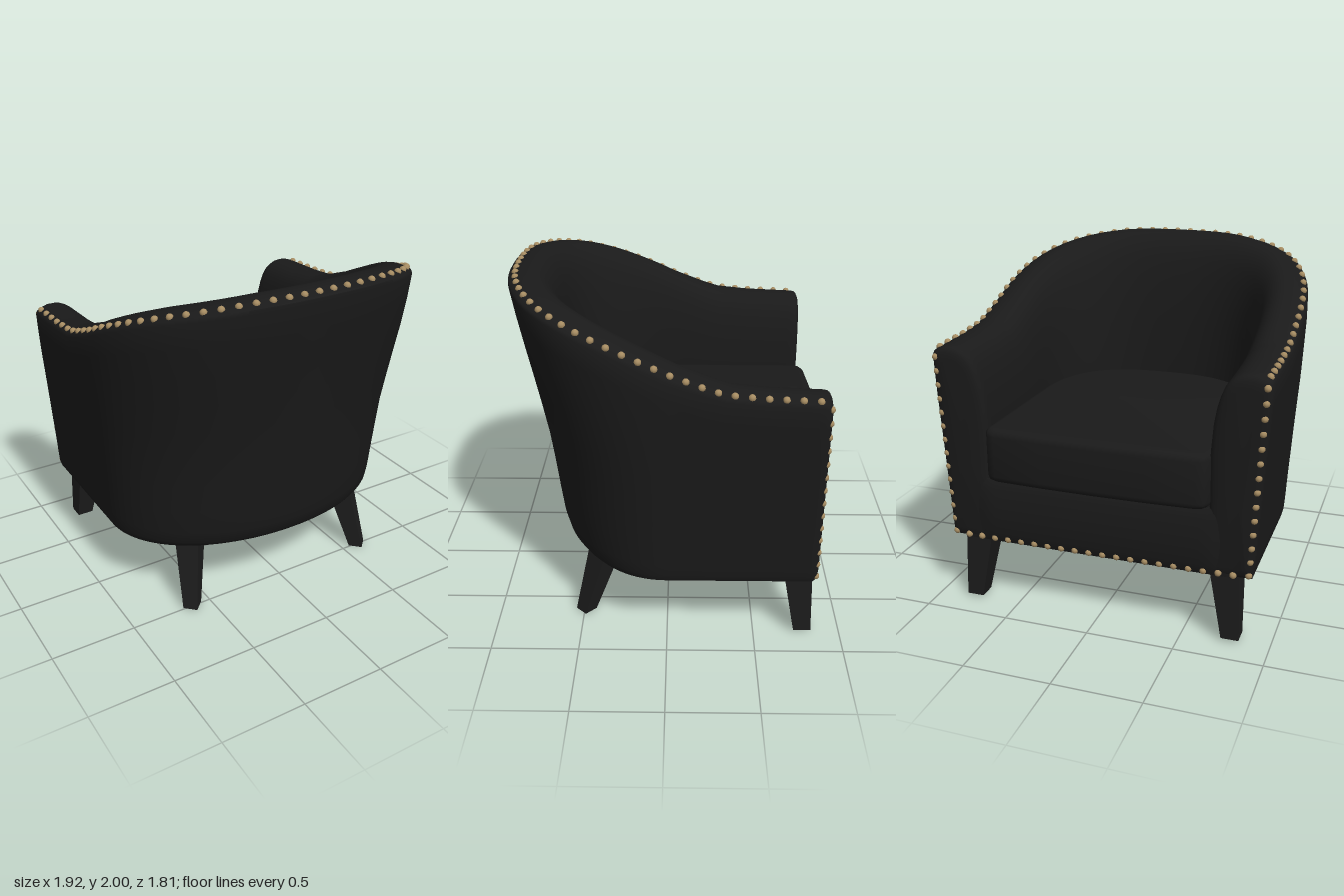
import * as THREE from 'three';
import { mergeGeometries, toCreasedNormals } from 'three/addons/utils/BufferGeometryUtils.js';

const { lerp, smoothstep } = THREE.MathUtils;

// Linear lookup in rows of [key, value, value...]
function lookup(rows, key, col) {
  let i = 1;
  while (i < rows.length - 1 && rows[i][0] < key) i++;
  const [a, b] = [rows[i - 1], rows[i]];
  const t = THREE.MathUtils.clamp((key - a[0]) / (b[0] - a[0]), 0, 1);
  return lerp(a[col], b[col], t);
}

// Height of the rim by depth
const RIM = [[-0.85, 1.54], [-0.5, 1.555], [-0.3, 1.575], [-0.2, 1.605], [0, 1.68], [0.2, 1.76],
  [0.4, 1.84], [0.6, 1.912], [0.75, 1.957], [0.82, 1.978], [0.87, 1.994], [0.9, 2]];
// Outer wall by height: half width, depth of the back, squareness of the plan
const WALL = [[0.4, 0.885, 0.59, 2.1], [0.43, 0.895, 0.635, 2.1], [0.5, 0.9, 0.66, 2.1],
  [0.6, 0.905, 0.675, 2.1], [1.0, 0.93, 0.722, 2.15], [1.3, 0.95, 0.775, 2.27],
  [1.6, 0.96, 0.833, 2.45], [1.8, 0.955, 0.872, 2.55], [2.0, 0.945, 0.91, 2.58]];
// Roll from the rim to the seat: fraction inward, fraction of the drop
const ROLL = [[0.25, 0], [0.4, 0], [0.5, 0.012], [0.6, 0.045], [0.7, 0.1], [0.78, 0.18],
  [0.85, 0.3], [0.91, 0.45], [0.96, 0.65], [1, 1]];

// U-shaped plan: s = -1 right front, 0 middle of the back, 1 left front
function plan(s, a, b, z0, front, n = 2.6) {
  const m = Math.abs(s), sign = Math.sign(s);
  if (m > 0.5) return [sign * a, lerp(z0, front, (m - 0.5) * 2)];
  const ang = m * Math.PI, p = 2 / n;
  return [sign * a * Math.sin(ang) ** p, z0 + b * Math.max(0, Math.cos(ang)) ** p];
}

const FRONT = -0.808;
const outer = (s, y) => plan(s, lookup(WALL, y, 1), lookup(WALL, y, 2), 0, FRONT, lookup(WALL, y, 3));
const inner = (s) => plan(s, 0.64, 0.65, -0.1, FRONT);
const rimHeight = (s) => lookup(RIM, plan(s, 0.95, 0.9, 0, FRONT)[1], 1);

// Closed cross-section of the shell at s
function section(s) {
  const H = rimHeight(s), o = outer(s, H), n = inner(s), pts = [];
  const across = (f, y, from = o) => pts.push([lerp(from[0], n[0], f), y, lerp(from[1], n[1], f)]);
  for (const t of [0, 0.012, 0.03, 0.08, 0.18, 0.3, 0.42, 0.54, 0.66, 0.78, 0.9, 1]) {
    const y = lerp(0.4, H - 0.05, t), p = outer(s, y);
    pts.push([p[0], y, p[1]]);
  }
  across(0.03, H - 0.03);
  across(0.1, H - 0.016);
  for (const [f, g] of ROLL) across(f, H - g * (H - 1.1));
  across(1, 0.8);
  across(1, 0.4);
  across(0.15, 0.4, outer(s, 0.4));
  return pts;
}

// Arm front: the end section shrunk toward its middle as it moves forward
function armEnd(sign) {
  const base = section(sign), cx = sign * 0.8;
  return [[0.004, -0.824], [0.013, -0.837], [0.03, -0.846], [0.065, -0.852], [0.16, -0.853]].map(([e, z]) => {
    const kx = 1 - e / 0.16, ky = e === 0.16 ? 0 : 1 - e / 0.57;
    return base.map(([x, y]) => [cx + (x - cx) * kx, 0.95 + (y - 0.95) * ky, z + (0.95 - y) * 0.008 * kx]);
  });
}

function shellGeometry() {
  const rings = [...armEnd(-1).reverse()];
  for (let i = 0; i <= 96; i++) rings.push(section(i / 48 - 1));
  rings.push(...armEnd(1));
  const m = rings[0].length, index = [];
  for (let i = 0; i < rings.length - 1; i++) {
    for (let j = 0; j < m; j++) {
      const k = (j + 1) % m, a = i * m, b = a + m;
      index.push(a + j, b + j, a + k, b + j, b + k, a + k);
    }
  }
  const g = new THREE.BufferGeometry();
  g.setAttribute('position', new THREE.Float32BufferAttribute(rings.flat(2), 3));
  g.setIndex(index);
  return toCreasedNormals(g, 0.95);
}

// Slab with the U plan of the seat
function seatSlab(halfWidth, back, nose, top, bottom, bevel) {
  const pts = [];
  for (let i = 0; i <= 64; i++) pts.push(new THREE.Vector2(...plan(i / 32 - 1, halfWidth, back, -0.1, -0.83)));
  for (const [x, z] of nose) pts.push(new THREE.Vector2(x, z));
  const g = new THREE.ExtrudeGeometry(new THREE.Shape(pts), {
    depth: top - bottom - 2 * bevel, bevelEnabled: bevel > 0, bevelSize: bevel,
    bevelThickness: bevel, bevelOffset: -bevel, bevelSegments: 4,
  });
  g.rotateX(Math.PI / 2).translate(0, top - bevel, 0);
  return toCreasedNormals(g, 0.7);
}

// Padded panel below the cushion, fading into the arm fronts
function panelGeometry() {
  const g = new THREE.BoxGeometry(1.6, 0.385, 0.1, 40, 14, 1).translate(0, 0.5945, -0.788);
  const p = g.attributes.position;
  for (let i = 0; i < p.count; i++) {
    if (p.getZ(i) > -0.8) continue;
    const t = THREE.MathUtils.clamp((p.getY(i) - 0.402) / 0.385, 0, 1);
    const swell = Math.max(0, Math.sin(Math.PI * t)) ** 0.6 * (1 - smoothstep(Math.abs(p.getX(i)), 0.62, 0.79));
    p.setZ(i, -0.838 - 0.028 * swell);
  }
  g.computeVertexNormals();
  return g;
}

// Tapered, splayed leg: [x, z, width] at top and foot, turned about its own axis
function legGeometry(top, foot, footY, turn) {
  const g = new THREE.BoxGeometry(1, 1, 1).rotateY(turn), p = g.attributes.position;
  for (let i = 0; i < p.count; i++) {
    const up = p.getY(i) > 0, e = up ? top : foot;
    p.setXYZ(i, e[0] + p.getX(i) * e[2], up ? 0.408 : footY, e[1] + p.getZ(i) * e[2]);
  }
  g.computeVertexNormals();
  return g;
}

// Evenly spaced studs around the rim, down the arm fronts and along the bottom
function studGeometry() {
  const rim = [];
  for (let i = 0; i <= 96; i++) {
    const s = (i / 48 - 1) * 0.985, H = rimHeight(s), o = outer(s, H), n = inner(s);
    const back = 1 - smoothstep(Math.abs(s), 0.1, 0.4), f = lerp(0.085, 0.135, back);
    rim.push(new THREE.Vector3(lerp(o[0], n[0], f), H - lerp(0.019, 0.014, back), lerp(o[1], n[1], f)));
  }
  const spots = new THREE.CatmullRomCurve3(rim).getSpacedPoints(53);
  for (const sign of [-1, 1]) {
    for (let i = 0; i < 14; i++) {
      const t = i / 13;
      spots.push(new THREE.Vector3(sign * lerp(0.93, 0.87, t), lerp(1.48, 0.43, t), lerp(-0.84, -0.834, t)));
    }
  }
  for (let i = 1; i < 21; i++) spots.push(new THREE.Vector3(lerp(-0.87, 0.87, i / 21), 0.422, -0.842));
  return mergeGeometries(spots.map((v) => new THREE.SphereGeometry(0.02, 10, 8).translate(v.x, v.y, v.z)));
}

export function createModel() {
  const model = new THREE.Group();
  model.name = 'armchair';
  const material = (name, color) => new THREE.MeshStandardMaterial({ name, color });
  const leather = material('black leather', 0x1a1a1a);
  const wood = material('dark wood', 0x1c1c1c);
  const brass = material('aged brass', 0xa68c62);
  const add = (name, geometry, mat) => {
    const mesh = new THREE.Mesh(geometry, mat);
    mesh.name = name;
    model.add(mesh);
  };

  // Upholstery
  add('backAndArms', shellGeometry(), leather);
  add('seatBase', seatSlab(0.66, 0.66, [], 0.79, 0.4, 0), leather);
  add('frontPanel', panelGeometry(), leather);
  const nose = [[0.625, -0.872], [0.58, -0.89], [0.3, -0.902], [0, -0.906],
    [-0.3, -0.902], [-0.58, -0.89], [-0.625, -0.872]];
  add('seatCushion', seatSlab(0.65, 0.65, nose, 1.1, 0.785, 0.04), leather);

  // Legs: square at the front, turned to the diagonal at the back
  for (const [side, sign] of [['left', 1], ['right', -1]]) {
    add(side + 'FrontLeg', legGeometry([sign * 0.735, -0.745, 0.16],
      [sign * 0.777, -0.785, 0.1], 0.02, 0), wood);
    add(side + 'BackLeg', legGeometry([sign * 0.55, 0.365, 0.141],
      [sign * 0.613, 0.49, 0.085], 0.005, Math.PI / 4), wood);
  }

  // Trim
  add('studs', studGeometry(), brass);
  return model;
}
